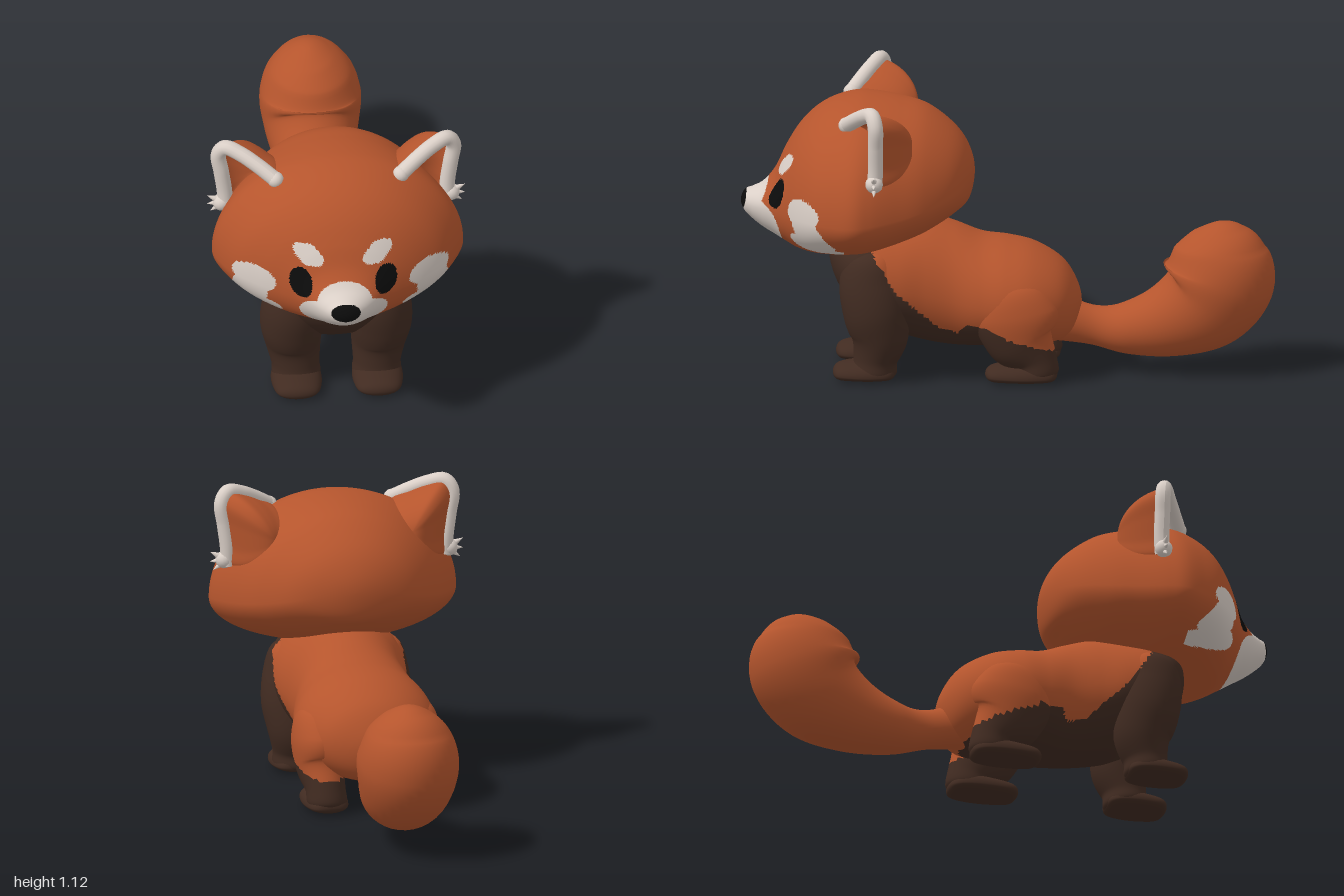
import * as THREE from 'three';

const mat = (name, color) => Object.assign(new THREE.MeshStandardMaterial({ color }), { name });
const FUR = 0, DARK = 1, CREAM = 2, BLACK = 3;
const materials = [mat('russetFur', 0xb5552d), mat('darkBrownFur', 0x412b21),
  mat('creamFur', 0xdacfc7), mat('black', 0x0c0c0c)];

// Smooth surface from fn(row 0..1, column 0..1), closed around its columns.
function grid(rows, cols, fn) {
  const pos = [], index = [];
  for (let i = 0; i <= rows; i++)
    for (let j = 0; j < cols; j++) pos.push(...fn(i / rows, j / cols).toArray());
  for (let i = 0; i < rows; i++)
    for (let j = 0; j < cols; j++) {
      const k = (j + 1) % cols, a = i * cols + j, b = i * cols + k;
      index.push(a, b, a + cols, b, b + cols, a + cols);
    }
  const g = new THREE.BufferGeometry();
  g.setAttribute('position', new THREE.Float32BufferAttribute(pos, 3));
  g.setIndex(index);
  g.computeVertexNormals();
  return g;
}

// Value of a smooth curve through the rows; zero-radius ends become round domes.
function sample(rows, t) {
  const n = rows.length - 1, u = Math.min(Math.max(t, 0), 1) * n;
  const i = Math.min(Math.floor(u), n - 1), f = u - i;
  const beyond = (end, next) => end.map((v, k) =>
    end[3] === 0 ? (k < 3 ? next[k] : -next[k]) : 2 * v - next[k]);
  const a = i > 0 ? rows[i - 1] : beyond(rows[0], rows[1]);
  const d = i < n - 1 ? rows[i + 2] : beyond(rows[n], rows[n - 1]);
  return rows[i].map((b, k) => {
    const c = rows[i + 1][k];
    return b + 0.5 * f * (c - a[k] + f * (2 * a[k] - 5 * b + 4 * c - d[k] + f * (3 * (b - c) + d[k] - a[k])));
  });
}

// Elliptical sections [x, y, z, radiusX, radiusUp, radiusDown] along a path in a side plane.
function loft(rows, nRows, nCols, upright = false) {
  const side = new THREE.Vector3(1, 0, 0);
  return grid(nRows, nCols, (t, s) => {
    const p = sample(rows, t), a = s * Math.PI * 2;
    const q0 = sample(rows, t - 0.01), q1 = sample(rows, t + 0.01);
    const up = upright ? new THREE.Vector3(0, 1, 0)
      : new THREE.Vector3(0, q1[1] - q0[1], q1[2] - q0[2]).normalize().cross(side);
    const sin = Math.sin(a);
    return new THREE.Vector3(p[0] + Math.cos(a) * p[3], p[1], p[2])
      .addScaledVector(up, sin * (sin > 0 ? p[4] : p[5]));
  });
}

// Upright sections along z: [z, halfWidth, bottom, widestHeight, top].
const loftZ = (rows, nRows, nCols, x = 0) => loft(
  rows.map(([z, w, bottom, mid, top]) => [x, mid, z, w, top - mid, mid - bottom]), nRows, nCols, true);

// Sorts faces into colour groups by their centre.
function paint(g, rule) {
  const p = g.attributes.position, idx = g.index.array, bins = [[], [], [], []];
  for (let i = 0; i < idx.length; i += 3) {
    const f = [idx[i], idx[i + 1], idx[i + 2]];
    const mid = (get) => f.reduce((sum, v) => sum + p[get](v), 0) / 3;
    bins[rule(mid('getX'), mid('getY'), mid('getZ'))].push(...f);
  }
  g.setIndex(bins.flat());
  let start = 0;
  bins.forEach((b, m) => { if (b.length) g.addGroup(start, b.length, m); start += b.length; });
  return g;
}

// Mirrored copy of a geometry with its corner order turned back.
function mirror(g) {
  const m = g.clone().scale(-1, 1, 1), a = m.index.array;
  for (let i = 0; i < a.length; i += 3) [a[i], a[i + 1]] = [a[i + 1], a[i]];
  m.computeVertexNormals();
  return m;
}

const inside = (x, y, cx, cy, rx, ry) => ((x - cx) / rx) ** 2 + ((y - cy) / ry) ** 2 < 1;

// Face markings
function headColour(sx, y, z) {
  const x = Math.abs(sx);
  if (z < 0.6) return FUR;
  if (z > 0.94 && inside(x, y, 0, 0.657, 0.055, 0.036)) return BLACK;
  if (inside(x, y, 0.16, 0.717, 0.042, 0.057)) return BLACK;
  if (inside(x, y, 0, 0.6, 0.165, 0.092) || inside(x, y, 0, 0.66, 0.105, 0.08)) return CREAM;
  const bx = x - 0.13, by = y - 0.822;
  if (inside(bx * 0.9 - by * 0.43, bx * 0.43 + by * 0.9, 0, 0, 0.038, 0.04)
    || inside(bx * 0.9 + by * 0.43, by * 0.9 - bx * 0.43, 0, 0, 0.06, 0.034)) return CREAM;
  if (inside(x, y, 0.328, 0.683, 0.078, 0.055) || inside(x, y, 0.342, 0.62, 0.062, 0.07)
    || inside(x, y, 0.29, 0.555, 0.065, 0.04)) return CREAM;
  return FUR;
}

// Upper edge of the dark underside, as [z, y]
const darkEdge = [[-0.3, 0.11], [-0.2, 0.12], [-0.1, 0.155], [0, 0.19], [0.07, 0.225], [0.15, 0.23],
  [0.18, 0.19], [0.25, 0.21], [0.4, 0.35], [0.5, 0.5], [0.56, 0.8]];
function bodyColour(x, y, z) {
  const i = darkEdge.findIndex((e) => e[0] > z);
  if (i < 0) return DARK;
  if (i === 0) return FUR;
  const [z0, y0] = darkEdge[i - 1], [z1, y1] = darkEdge[i];
  return y < y0 + (y1 - y0) * (z - z0) / (z1 - z0) ? DARK : FUR;
}

export function createModel() {
  const model = new THREE.Group();
  model.name = 'redPanda';
  const add = (name, geometry, material) => {
    const m = new THREE.Mesh(geometry, material);
    m.name = name;
    model.add(m);
  };

  // Head with muzzle
  add('head', paint(loftZ([
    [0.125, 0, 0.77, 0.77, 0.77], [0.145, 0.12, 0.67, 0.76, 0.86], [0.2, 0.235, 0.62, 0.73, 0.94],
    [0.3, 0.335, 0.56, 0.7, 1.015], [0.4, 0.4, 0.52, 0.68, 1.045], [0.5, 0.455, 0.49, 0.67, 1.06],
    [0.57, 0.47, 0.48, 0.665, 1.06], [0.65, 0.435, 0.475, 0.66, 1.04], [0.72, 0.385, 0.475, 0.66, 1.0],
    [0.78, 0.31, 0.485, 0.655, 0.94], [0.83, 0.225, 0.505, 0.65, 0.86], [0.87, 0.16, 0.525, 0.645, 0.775],
    [0.915, 0.115, 0.55, 0.645, 0.72], [0.955, 0.08, 0.58, 0.645, 0.7], [0.985, 0.05, 0.61, 0.65, 0.688],
    [1.0, 0, 0.65, 0.65, 0.65]], 190, 180), headColour), materials);

  // Body
  add('body', paint(loftZ([
    [-0.275, 0, 0.27, 0.27, 0.27], [-0.255, 0.1, 0.18, 0.27, 0.35], [-0.2, 0.19, 0.13, 0.28, 0.43],
    [-0.1, 0.255, 0.11, 0.28, 0.49], [0, 0.268, 0.11, 0.29, 0.515], [0.1, 0.248, 0.105, 0.3, 0.53],
    [0.2, 0.225, 0.105, 0.32, 0.57], [0.3, 0.23, 0.12, 0.34, 0.6], [0.4, 0.25, 0.15, 0.36, 0.6],
    [0.5, 0.255, 0.2, 0.38, 0.6], [0.58, 0.225, 0.27, 0.42, 0.58], [0.64, 0.14, 0.35, 0.45, 0.55],
    [0.67, 0, 0.46, 0.46, 0.46]], 110, 96), bodyColour), materials);

  // Tail
  add('tail', loft([
    [0, 0.21, -0.17, 0.09, 0.09, 0.09], [0, 0.177, -0.32, 0.068, 0.075, 0.075],
    [0, 0.168, -0.45, 0.108, 0.1, 0.1], [0, 0.2, -0.6, 0.145, 0.142, 0.142],
    [0, 0.27, -0.73, 0.178, 0.188, 0.188], [0, 0.37, -0.787, 0.19, 0.212, 0.212],
    [0, 0.48, -0.79, 0.155, 0.172, 0.172], [0, 0.55, -0.785, 0.085, 0.1, 0.1],
    [0, 0.58, -0.78, 0, 0, 0]], 64, 40), materials[FUR]);

  // Legs and paws
  for (const [side, s] of [['left', 1], ['right', -1]]) {
    const limb = (rows) => paint(loft(
      rows.map(([x, y, z, rx, rz]) => [x * s, y, z, rx, rz, rz]), 50, 40), bodyColour);
    add(side + 'FrontLeg', limb([
      [0.15, 0.52, 0.5, 0, 0], [0.15, 0.48, 0.5, 0.09, 0.09], [0.16, 0.38, 0.505, 0.115, 0.12],
      [0.167, 0.27, 0.49, 0.118, 0.122], [0.162, 0.17, 0.475, 0.105, 0.108],
      [0.153, 0.08, 0.49, 0.09, 0.083], [0.15, 0.02, 0.495, 0.085, 0.078], [0.15, 0, 0.495, 0, 0]]), materials);
    add(side + 'HindLeg', limb([
      [0.16, 0.42, -0.03, 0, 0], [0.17, 0.37, -0.03, 0.08, 0.11], [0.18, 0.27, -0.035, 0.1, 0.16],
      [0.18, 0.17, -0.055, 0.09, 0.135], [0.17, 0.09, -0.105, 0.075, 0.085],
      [0.165, 0.025, -0.12, 0.07, 0.072], [0.165, 0, -0.12, 0, 0]]), materials);
    const paw = (x, z, w, len) => loftZ([
      [z, 0, 0.03, 0.03, 0.03], [z + len * 0.06, w * 0.7, 0.006, 0.025, 0.06],
      [z + len * 0.3, w, 0, 0.025, 0.082], [z + len * 0.65, w, 0, 0.025, 0.075],
      [z + len * 0.92, w * 0.75, 0.004, 0.027, 0.06], [z + len, 0, 0.03, 0.03, 0.03]], 32, 32, x * s);
    add(side + 'FrontPaw', paw(0.152, 0.415, 0.092, 0.235), materials[DARK]);
    add(side + 'HindPaw', paw(0.165, -0.19, 0.082, 0.27), materials[DARK]);
  }

  // Ear: cupped shell, pale rim and cheek tuft
  const rimPoints = [[0.415, 0.81, 0.485], [0.418, 0.88, 0.48], [0.43, 0.97, 0.48], [0.44, 1.05, 0.48],
    [0.415, 1.088, 0.492], [0.36, 1.075, 0.52], [0.3, 1.045, 0.555], [0.235, 1.005, 0.595]]
    .map((p) => new THREE.Vector3(...p));
  const outline = new THREE.CatmullRomCurve3(
    [...rimPoints, new THREE.Vector3(0.24, 0.9, 0.57), new THREE.Vector3(0.33, 0.82, 0.53)], true);
  const centre = new THREE.Vector3(0.35, 0.95, 0.52), back = new THREE.Vector3(-0.46, -0.1, -0.88);
  const shell = grid(36, 64, (t, s) => {
    const a = t * Math.PI, c = Math.cos(a);
    return outline.getPoint(s).sub(centre).multiplyScalar(Math.sin(a)).add(centre)
      .addScaledVector(back, c > 0 ? 0.19 * c : -0.07 * c);
  });
  const rim = new THREE.TubeGeometry(new THREE.CatmullRomCurve3(rimPoints), 48, 0.029, 14);
  const ball = (r, x, y, z) => new THREE.SphereGeometry(r, 16, 12).translate(x, y, z);
  const tuft = (angle, x, y) => new THREE.ConeGeometry(0.024, 0.07, 12).rotateZ(angle).translate(x, y, 0.485);
  const earParts = [
    ['Ear', shell, FUR], ['EarRim', rim, CREAM],
    ['EarRimInnerEnd', ball(0.031, 0.235, 1.005, 0.595), CREAM],
    ['EarTuftBase', ball(0.033, 0.43, 0.83, 0.485), CREAM],
    ['EarTuftUpper', tuft(-1.1, 0.453, 0.847), CREAM],
    ['EarTuftMiddle', tuft(-1.65, 0.45, 0.828), CREAM],
    ['EarTuftLower', tuft(-2.2, 0.444, 0.812), CREAM]];
  for (const [name, g, m] of earParts) {
    add('left' + name, g, materials[m]);
    add('right' + name, mirror(g), materials[m]);
  }
  return model;
}
